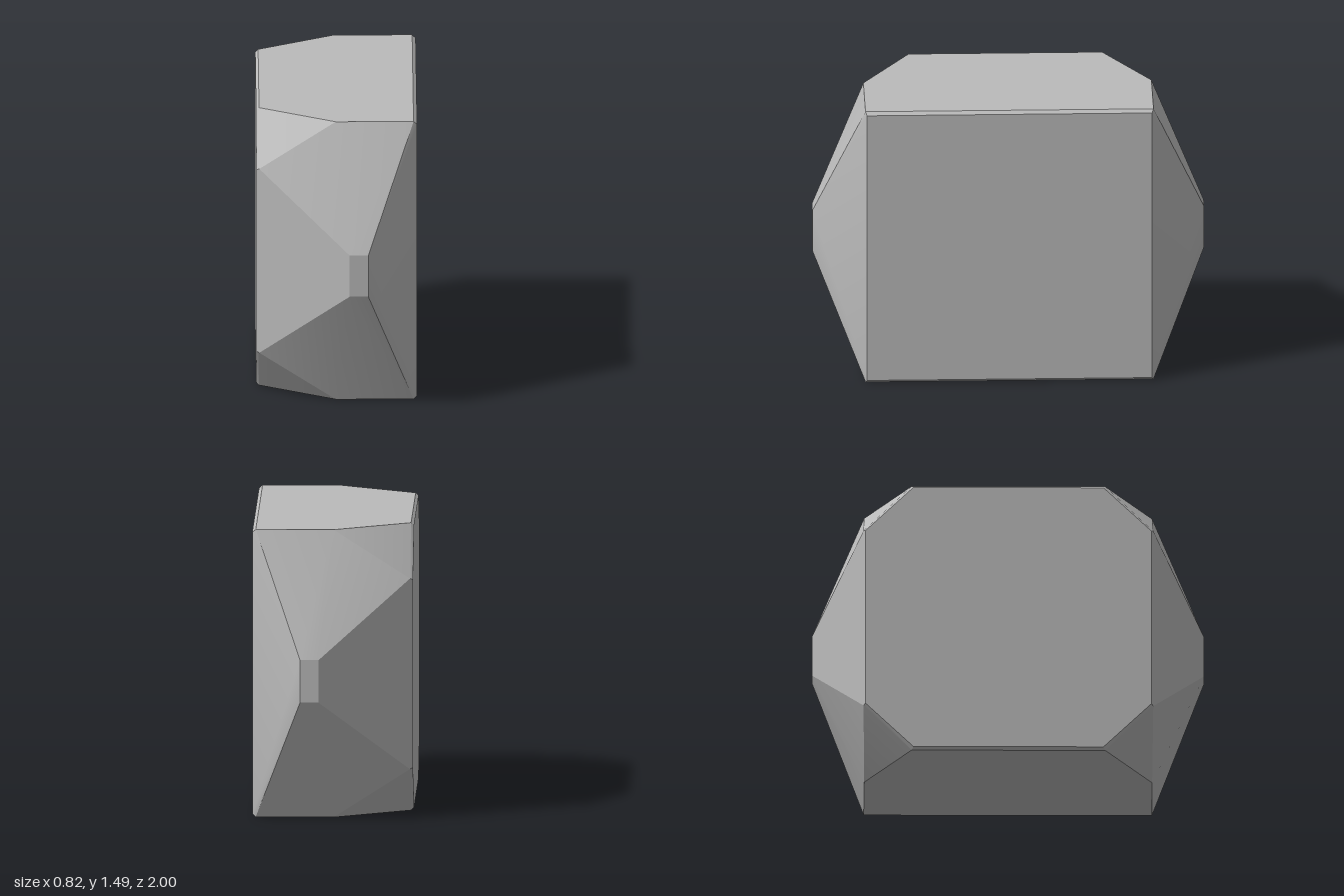
import * as THREE from 'three';
import { ConvexGeometry } from 'three/addons/geometries/ConvexGeometry.js';
import { toCreasedNormals } from 'three/addons/utils/BufferGeometryUtils.js';

export function createModel() {
  const group = new THREE.Group();
  group.name = 'facetedBlock';
  const grey = new THREE.MeshStandardMaterial({ color: 0xbbbbbb });
  grey.name = 'stoneGrey';

  // Corners of one quarter, measured from mid height; mirrored in y and z
  const midY = 0.7425;
  const quarter = [
    // small rectangle at the tip of each end
    [0.065, 0.11, 1], [0.16, 0.11, 1],
    // wide flat side with its narrow chamfer to the top
    [0.41, 0.727, 0.727], [0.392, 0.7425, 0.735],
    // where the cut corner meets the top edge
    [-0.005, 0.7425, 0.735],
    // cut corner and chamfers on the opposite side
    [-0.41, 0.485, 0.73], [-0.395, 0.492, 0.739],
    [-0.41, 0.729, 0.485], [-0.395, 0.7425, 0.494],
  ];

  const points = [];
  for (const sy of [1, -1]) {
    for (const sz of [1, -1]) {
      for (const [x, y, z] of quarter) {
        points.push(new THREE.Vector3(x, midY + sy * y, sz * z));
      }
    }
  }

  // Soft shading only across the shallow folds of the end facets
  const geometry = toCreasedNormals(new ConvexGeometry(points), 0.35);
  const body = new THREE.Mesh(geometry, grey);
  body.name = 'body';
  group.add(body);
  return group;
}
